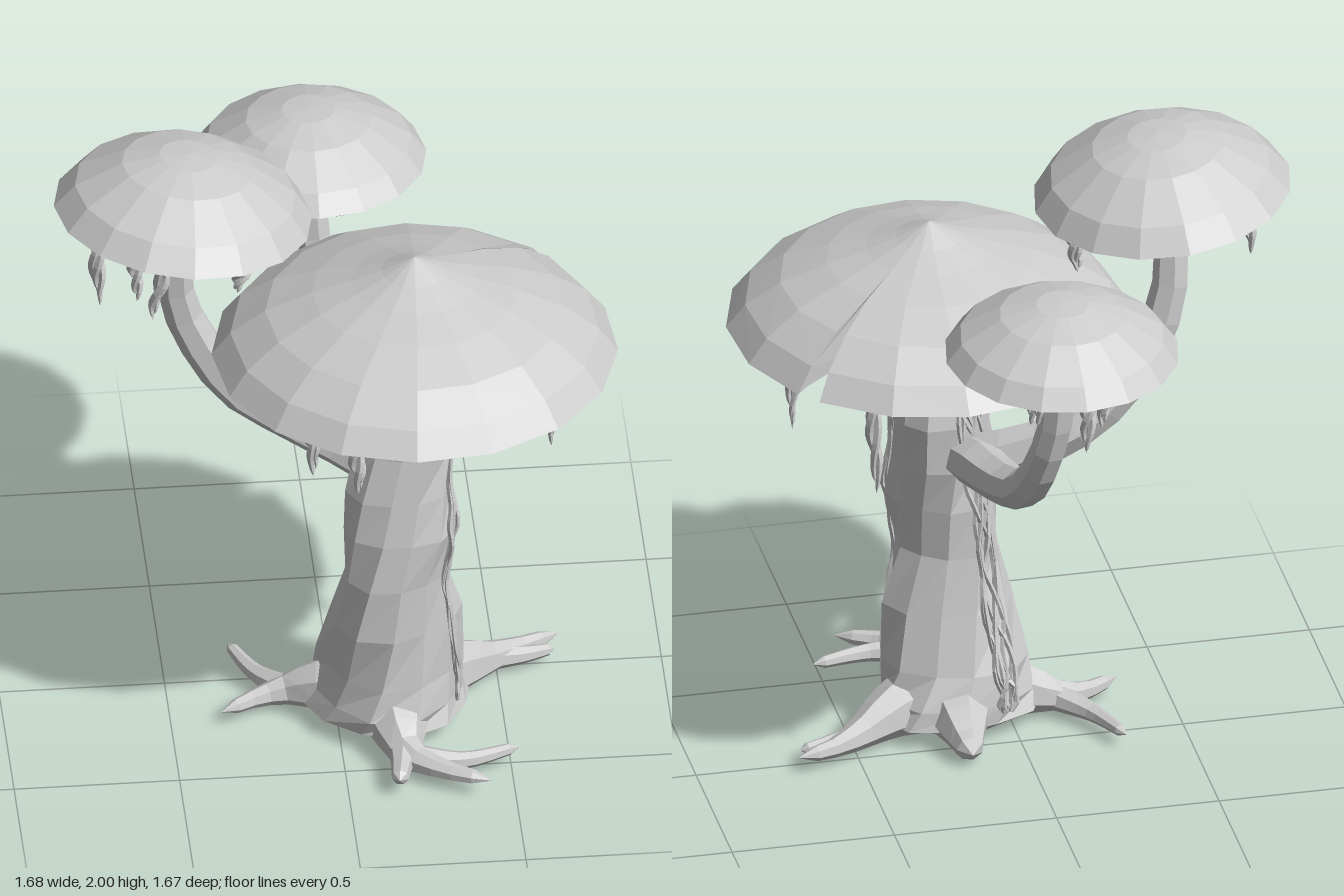
import * as THREE from 'three';

const TAU = Math.PI * 2;
const mat = new THREE.MeshStandardMaterial({ color: 0xcccccc, flatShading: true, side: THREE.DoubleSide });
const mesh = (geo, name) => {
  const m = new THREE.Mesh(geo, mat);
  m.name = name;
  return m;
};

// seeded random in -1..1
let seed = 7;
const rnd = () => {
  seed = (seed * 16807) % 2147483647;
  return (seed / 2147483647) * 2 - 1;
};

// tube through [x, y, z, radius] points, closed at the tip
function taper(pts, name, steps = 10, sides = 7, floor = -1) {
  const curve = new THREE.CatmullRomCurve3(pts.map(p => new THREE.Vector3(p[0], p[1], p[2])));
  const geo = new THREE.TubeGeometry(curve, steps, 1, sides);
  const pos = geo.attributes.position, v = new THREE.Vector3();
  for (let i = 0; i < pos.count; i++) {
    const ring = Math.floor(i / (sides + 1)), u = ring / steps;
    const f = curve.getUtoTmapping(u) * (pts.length - 1), k = Math.min(Math.floor(f), pts.length - 2);
    const r = ring === steps ? 0 : THREE.MathUtils.lerp(pts[k][3], pts[k + 1][3], f - k);
    const c = curve.getPointAt(u);
    v.fromBufferAttribute(pos, i).sub(c).multiplyScalar(r).add(c);
    pos.setXYZ(i, v.x, Math.max(v.y, floor), v.z);
  }
  return mesh(geo, name);
}

// trunk cross-sections: y, centre x, centre z, radius x, radius z
const ROWS = [
  [0.01, 0.16, 0.2, 0.15, 0.15], [0.06, 0.16, 0.2, 0.25, 0.23], [0.12, 0.16, 0.205, 0.24, 0.22], [0.22, 0.16, 0.21, 0.215, 0.2],
  [0.4, 0.165, 0.24, 0.195, 0.175], [0.58, 0.165, 0.26, 0.16, 0.148], [0.74, 0.18, 0.258, 0.165, 0.15],
  [0.88, 0.185, 0.245, 0.155, 0.145], [1.03, 0.2, 0.232, 0.155, 0.128], [1.2, 0.215, 0.24, 0.125, 0.118], [1.39, 0.22, 0.25, 0.12, 0.11],
];
function trunkPoint(theta, row, r = 1) {
  const k = Math.min(Math.floor(row), ROWS.length - 2);
  const [y, cx, cz, rx, rz] = ROWS[k].map((a, i) => THREE.MathUtils.lerp(a, ROWS[k + 1][i], row - k));
  const s = r * (1 + 0.07 * Math.sin(3 * theta + row * 1.1) + 0.04 * Math.sin(2 * theta - row * 1.9));
  const t = theta + row * 0.13;
  return [cx + Math.sin(t) * rx * s, y, cz + Math.cos(t) * rz * s];
}

function buildTrunk() {
  const n = ROWS.length - 1;
  const geo = new THREE.CylinderGeometry(1, 1, 1, 11, n);
  const pos = geo.attributes.position;
  for (let i = 0; i < pos.count; i++) {
    const x = pos.getX(i), z = pos.getZ(i);
    pos.setXYZ(i, ...trunkPoint(Math.atan2(x, z), (pos.getY(i) + 0.5) * n, Math.hypot(x, z)));
  }
  return mesh(geo, 'trunk');
}

// strands creeping up the trunk around one bearing, widening upwards
function creeper(bearing, spread, strands) {
  const g = new THREE.Group();
  g.name = 'trunkCreeper';
  for (let s = 0; s < strands; s++) {
    const pts = [], a = rnd() * 3;
    for (let i = 0; i <= 18; i++) {
      const row = THREE.MathUtils.lerp(1.6, 9.9, i / 18);
      const t = bearing - row * 0.13 + spread * (0.15 + 0.85 * i / 18) * Math.sin(a + i * 0.6 + s) + 0.05 * rnd();
      pts.push([...trunkPoint(t, row, 1.0 + 0.04 * rnd()), 0.008]);
    }
    g.add(taper(pts, 'creeperStrand', 44, 4));
  }
  return g;
}

// tightly twisted bundle hanging from a cap
function hangingVine(x, y, z, len) {
  const g = new THREE.Group();
  g.name = 'hangingVine';
  const a0 = rnd() * 3, lean = rnd() * 0.015;
  for (let s = 0; s < 3; s++) {
    const pts = [], l = len * (1 - 0.1 * s);
    for (let i = 0; i <= 7; i++) {
      const t = i / 7, a = a0 + s * TAU / 3 + i * 0.8, r = 0.004 + 0.011 * Math.sin(Math.PI * t);
      pts.push([x + Math.cos(a) * r + lean * Math.sin(t * 5), y - l * t, z + Math.sin(a) * r, 0.003 + 0.01 * Math.sin(Math.PI * (0.15 + 0.8 * t))]);
    }
    g.add(taper(pts, 'vineStrand', 14, 4));
  }
  return g;
}

// cap: profile of [r, y] from rim to apex, optional notch that opens beyond radius notch.r
function cap(name, profile, at, tilt, notch) {
  const g = new THREE.Group();
  g.name = name;
  const R = profile[0][0], start = notch ? notch.angle : 0;
  const gap = r => notch ? notch.half * Math.pow(Math.max(0, (r - notch.r) / (R - notch.r)), 0.65) : 0;
  const place = (r, t) => {
    const a = start + t * TAU + gap(r) * (1 - 2 * t);
    return [Math.sin(a) * r, Math.cos(a) * r];
  };
  const pts = [[0, 0.035], [R * 0.5, 0.03], [R * 0.94, 0.012], ...profile].map(p => new THREE.Vector2(p[0], p[1]));
  const segs = 16, geo = new THREE.LatheGeometry(pts, segs), pos = geo.attributes.position;
  for (let i = 0; i < pos.count; i++) {
    const p = pts[i % pts.length], [x, z] = place(p.x, Math.floor(i / pts.length) / segs);
    pos.setXYZ(i, x, p.y, z);
  }
  g.add(mesh(geo, 'capShell'));
  // walls of the notch
  if (notch) for (const t of [0, 1]) {
    const wall = new THREE.ShapeGeometry(new THREE.Shape(pts)), wp = wall.attributes.position;
    for (let i = 0; i < wp.count; i++) {
      const [x, z] = place(wp.getX(i), t);
      wp.setXYZ(i, x, wp.getY(i), z);
    }
    g.add(mesh(wall, 'notchWall'));
  }
  // irregular web of gills on the underside
  const web = new THREE.Group();
  web.name = 'gillWeb';
  for (let i = 0; i < 16; i++) {
    const t = (i + 0.5 + 0.2 * rnd()) / 16, line = [];
    for (let k = 0; k <= 5; k++) {
      const [x, z] = place(R * (0.12 + 0.84 * k / 5), t + 0.014 * rnd());
      line.push([x, 0.02 - 0.02 * k / 5, z, 0.008]);
    }
    web.add(taper(line, 'gill', 9, 4));
  }
  for (const f of [0.35, 0.56, 0.76, 0.95]) {
    const line = [];
    for (let i = 0; i <= 30; i++) {
      const [x, z] = place(R * f * (1 + (f < 0.9 ? 0.07 : 0.01) * rnd()), 0.005 + 0.99 * i / 30);
      line.push([x, 0.02 - 0.02 * f, z, 0.008]);
    }
    web.add(taper(line, 'gillRing', 44, 4));
  }
  g.add(web);
  g.position.set(...at);
  g.rotation.set(tilt[0], 0, tilt[1]);
  return g;
}

export function createModel() {
  const g = new THREE.Group();
  g.name = 'mushroomTree';
  g.add(buildTrunk());

  // roots with their forks
  const roots = [
    [[0.2, 0.1, 0.2, 0.13], [0.37, 0.09, 0.11, 0.085], [0.48, 0.065, 0.04, 0.05], [0.58, 0.055, -0.02, 0.03], [0.7, 0.06, -0.07, 0.018]],
    [[0.48, 0.06, 0.04, 0.04], [0.58, 0.05, 0.02, 0.028], [0.68, 0.05, -0.005, 0.016]],
    [[0.17, 0.1, 0.18, 0.14], [0.18, 0.085, 0.02, 0.09], [0.18, 0.06, -0.07, 0.055], [0.18, 0.05, -0.15, 0.03]],
    [[0.12, 0.1, 0.2, 0.13], [-0.04, 0.09, 0.17, 0.085], [-0.14, 0.065, 0.15, 0.05], [-0.23, 0.055, 0.17, 0.03], [-0.35, 0.055, 0.24, 0.018]],
    [[-0.14, 0.06, 0.15, 0.045], [-0.23, 0.05, 0.04, 0.028], [-0.3, 0.05, -0.12, 0.016]],
    [[0.17, 0.1, 0.25, 0.13], [0.17, 0.085, 0.4, 0.09], [0.19, 0.065, 0.51, 0.05], [0.29, 0.06, 0.6, 0.03], [0.43, 0.06, 0.67, 0.018]],
    [[0.2, 0.06, 0.53, 0.045], [0.35, 0.055, 0.55, 0.028], [0.53, 0.06, 0.5, 0.016]],
    [[0.18, 0.065, 0.48, 0.05], [0.165, 0.065, 0.57, 0.033], [0.15, 0.07, 0.66, 0.024]],
  ];
  roots.forEach(r => g.add(taper(r, 'root', 9, 7, 0)));

  // branches carrying the two smaller caps
  g.add(taper([[0.2, 0.87, 0.21, 0.08], [0.04, 0.93, 0.1, 0.082], [-0.12, 1.0, 0.05, 0.072], [-0.28, 1.11, 0.04, 0.067],
    [-0.385, 1.26, 0.03, 0.064], [-0.46, 1.44, 0.03, 0.058], [-0.475, 1.62, 0.05, 0.052], [-0.45, 1.83, 0.06, 0.052]], 'leftBranch', 12));
  g.add(taper([[0.17, 0.9, 0.23, 0.07], [0.12, 0.93, 0.06, 0.078], [0.08, 0.955, -0.12, 0.068], [0.05, 1.01, -0.27, 0.062],
    [0.02, 1.15, -0.39, 0.056], [-0.01, 1.33, -0.45, 0.052], [-0.02, 1.61, -0.465, 0.048]], 'backBranch', 12));

  // caps
  g.add(cap('mainCap', [[0.612, 0], [0.555, 0.075], [0.45, 0.15], [0.31, 0.21], [0.19, 0.25], [0.1, 0.285], [0, 0.333]],
    [0.235, 1.357, 0.225], [-0.03, 0], { angle: 131.5 * Math.PI / 180, half: 0.065, r: 0.3 }));
  g.add(cap('leftCap', [[0.392, 0], [0.335, 0.075], [0.2, 0.16], [0.09, 0.193], [0, 0.2]], [-0.45, 1.8, 0.065], [-0.06, -0.1]));
  g.add(cap('backCap', [[0.355, 0], [0.31, 0.06], [0.19, 0.135], [0.08, 0.168], [0, 0.173]], [-0.02, 1.58, -0.48], [-0.06, 0]));

  // hanging vines: x, top y, z, length
  const vines = [
    [0.64, 1.37, 0.27, 0.37], [0.49, 1.36, -0.18, 0.36], [-0.1, 1.38, 0.5, 0.28], [-0.2, 1.37, 0.1, 0.29],
    [0.35, 1.38, 0.45, 0.2], [0.02, 1.39, 0.7, 0.22], [0.0, 1.37, -0.17, 0.2],
    [-0.72, 1.84, 0.2, 0.28], [-0.69, 1.83, -0.05, 0.22], [-0.61, 1.82, 0.25, 0.21], [-0.55, 1.82, 0.33, 0.23],
    [-0.3, 1.8, 0.32, 0.13], [-0.24, 1.79, 0.02, 0.13], [-0.16, 1.78, -0.04, 0.18],
    [0.08, 1.59, -0.6, 0.19], [-0.12, 1.59, -0.64, 0.2], [-0.05, 1.58, -0.7, 0.23], [0.14, 1.59, -0.5, 0.12],
  ];
  vines.forEach(v => g.add(hangingVine(...v)));

  // creepers on the right and rear of the trunk
  g.add(creeper(1.15, 0.15, 4));
  g.add(creeper(Math.PI + 0.55, 0.42, 9));
  return g;
}
